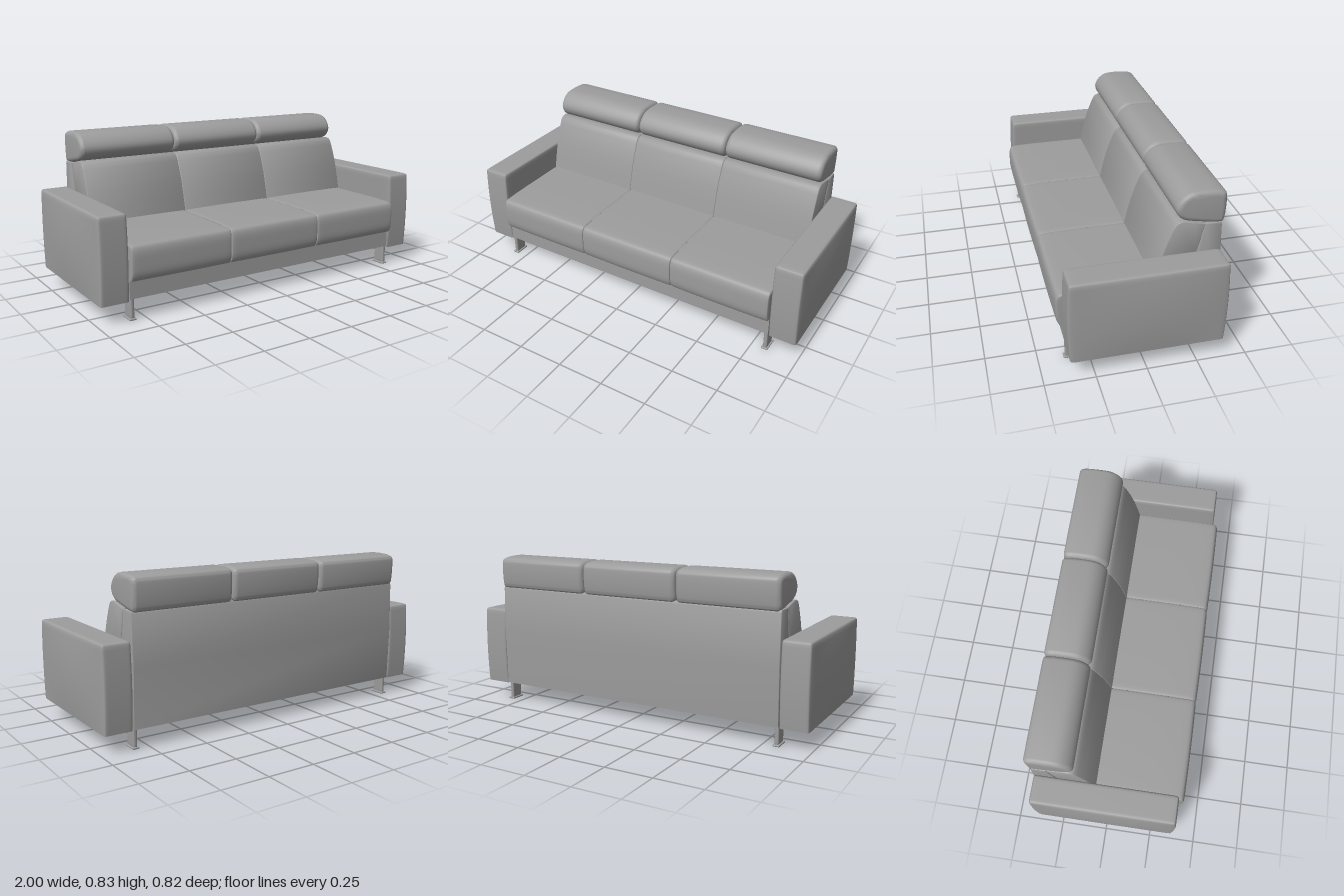
import * as THREE from 'three';
import { mergeVertices, toCreasedNormals } from 'three/addons/utils/BufferGeometryUtils.js';

const material = new THREE.MeshStandardMaterial({ color: 0x9d9d9d, side: THREE.DoubleSide });
const WIDTH = 1.67;            // clear width between the arms
const SECTION = WIDTH / 3;     // width of one seat

function add(parent, name, geometry, x = 0, y = 0, z = 0) {
  const mesh = new THREE.Mesh(geometry, material);
  mesh.name = name;
  mesh.position.set(x, y, z);
  parent.add(mesh);
}

// Leaves out every triangle whose three corners all pass the test
function cut(geometry, test) {
  const pos = geometry.attributes.position;
  const count = geometry.index ? geometry.index.count : pos.count;
  const kept = [];
  for (let i = 0; i < count; i += 3) {
    const t = [0, 1, 2].map((k) => (geometry.index ? geometry.index.getX(i + k) : i + k));
    if (!t.every((k) => test(new THREE.Vector3().fromBufferAttribute(pos, k)))) kept.push(...t);
  }
  geometry.setIndex(kept);
  return geometry;
}

// Rounded box; bulge(p, n) may push each point, n being its place in -1..1.
// open(p) marks surfaces to leave out; open boxes keep a square lower rim.
function pillow(w, h, d, r, bulge = () => {}, open = null) {
  let geo = new THREE.BoxGeometry(2, 2, 2, 16, 16, 16);
  geo.deleteAttribute('uv');
  geo.deleteAttribute('normal');
  geo = mergeVertices(geo);
  const pos = geo.attributes.position;
  const half = new THREE.Vector3(w / 2, h / 2, d / 2);
  const max = half.clone().subScalar(r);
  const min = max.clone().negate();
  if (open) min.y = -half.y;
  const ease = (u) => Math.sign(u) * (1 - (1 - Math.abs(u)) ** 2);
  const p = new THREE.Vector3();
  for (let i = 0; i < pos.count; i++) {
    p.fromBufferAttribute(pos, i);
    p.set(ease(p.x), ease(p.y), ease(p.z));
    const n = p.clone();
    p.multiply(half);
    const core = p.clone().clamp(min, max);
    p.sub(core).setLength(r).add(core);
    bulge(p, n);
    pos.setXYZ(i, p.x, p.y, p.z);
  }
  if (open) cut(geo, open);
  geo.computeVertexNormals();
  return geo;
}

// Side profile of [z, y] points, extruded along x with softened ends
function profile(points, width, bevel, curved = false) {
  let pts = points.map(([z, y]) => new THREE.Vector2(z, y));
  if (curved) {
    const curve = new THREE.CatmullRomCurve3(pts.map((p) => new THREE.Vector3(p.x, p.y, 0)), true, 'centripetal');
    pts = curve.getPoints(44).slice(0, -1).map((p) => new THREE.Vector2(p.x, p.y));
  }
  const geo = new THREE.ExtrudeGeometry(new THREE.Shape(pts), {
    depth: width - 2 * bevel, bevelThickness: bevel, bevelSize: bevel,
    bevelOffset: -bevel, bevelSegments: 4, steps: 1,
  });
  geo.translate(0, 0, -(width - 2 * bevel) / 2);
  geo.rotateY(-Math.PI / 2);
  return toCreasedNormals(geo, 0.7);
}

export function createModel() {
  const sofa = new THREE.Group();
  sofa.name = 'sofa';

  // Arms: bowed upholstered shells, open underneath and below the seat inside
  for (const s of [1, -1]) {
    const geo = pillow(0.149, 0.433, 0.757, 0.014, (p, n) => {
      const bow = 1 - n.y * n.y;
      p.x += s * 0.014 * (0.5 + 0.5 * s * n.x) * bow * (1 - n.z * n.z);
      p.z += 0.009 * n.z * bow;
    }, (p) => p.y < -0.2164 || (s * p.x < -0.07 && p.y < 0.03 && Math.abs(p.z) < 0.37));
    add(sofa, s > 0 ? 'leftArm' : 'rightArm', geo, s * 0.9105, 0.3125, -0.009);
  }

  // Seat cushions: hollow, open below and behind, sides returning only at the front
  const seat = pillow(SECTION + 0.002, 0.182, 0.645, 0.012, (p, n) => {
    if (n.z > 0) p.z += 0.016 * n.z * n.z * (1 - n.y ** 4) + 0.003 * n.z * (1 - n.x * n.x);
    if (n.y > 0) p.y += 0.002 * (1 - n.x * n.x) - 0.006 * n.y * Math.max(0, n.z) ** 4;
  }, (p) => p.y < -0.0909 || p.z < -0.31 ||
    (Math.abs(p.x) > SECTION / 2 - 0.002 && p.z < 0.27));

  // Back cushions and headrests
  const backCushion = profile([
    [-0.065, 0.36], [-0.085, 0.45], [-0.105, 0.53], [-0.125, 0.59], [-0.15, 0.65],
    [-0.165, 0.678], [-0.18, 0.688], [-0.205, 0.692], [-0.26, 0.68], [-0.31, 0.668],
    [-0.276, 0.52], [-0.236, 0.36],
  ], SECTION, 0.006);
  const headrest = profile([
    [-0.168, 0.757], [-0.178, 0.72], [-0.208, 0.694], [-0.29, 0.674], [-0.378, 0.66],
    [-0.4, 0.665], [-0.408, 0.69], [-0.412, 0.79], [-0.406, 0.817], [-0.38, 0.829],
    [-0.3, 0.835], [-0.23, 0.828], [-0.188, 0.798],
  ], SECTION - 0.003, 0.024, true);
  for (const i of [-1, 0, 1]) {
    add(sofa, 'seatCushion', seat, i * SECTION, 0.293, 0.0685);
    add(sofa, 'backCushion', backCushion, i * SECTION);
    add(sofa, 'headrest', headrest, i * SECTION);
  }

  // Backrest frame: leaning at the front, upright behind, open underneath
  add(sofa, 'backFrame', cut(profile([
    [-0.312, 0.667], [-0.384, 0.668], [-0.391, 0.655], [-0.398, 0.4], [-0.391, 0.1],
    [-0.2, 0.1],
  ], WIDTH, 0.004), (p) => p.y < 0.106));

  // Rail below the seat
  add(sofa, 'frontRail', new THREE.BoxGeometry(WIDTH, 0.095, 0.025), 0, 0.1545, 0.3575);

  // Flat legs on foot plates
  const leg = pillow(0.022, 0.19, 0.07, 0.008);
  const plate = pillow(0.036, 0.01, 0.084, 0.004);
  for (const x of [-0.822, 0.822]) {
    for (const z of [0.333, -0.342]) {
      add(sofa, 'leg', leg, x, 0.1, z);
      add(sofa, 'footPlate', plate, x, 0.005, z);
    }
  }
  return sofa;
}
